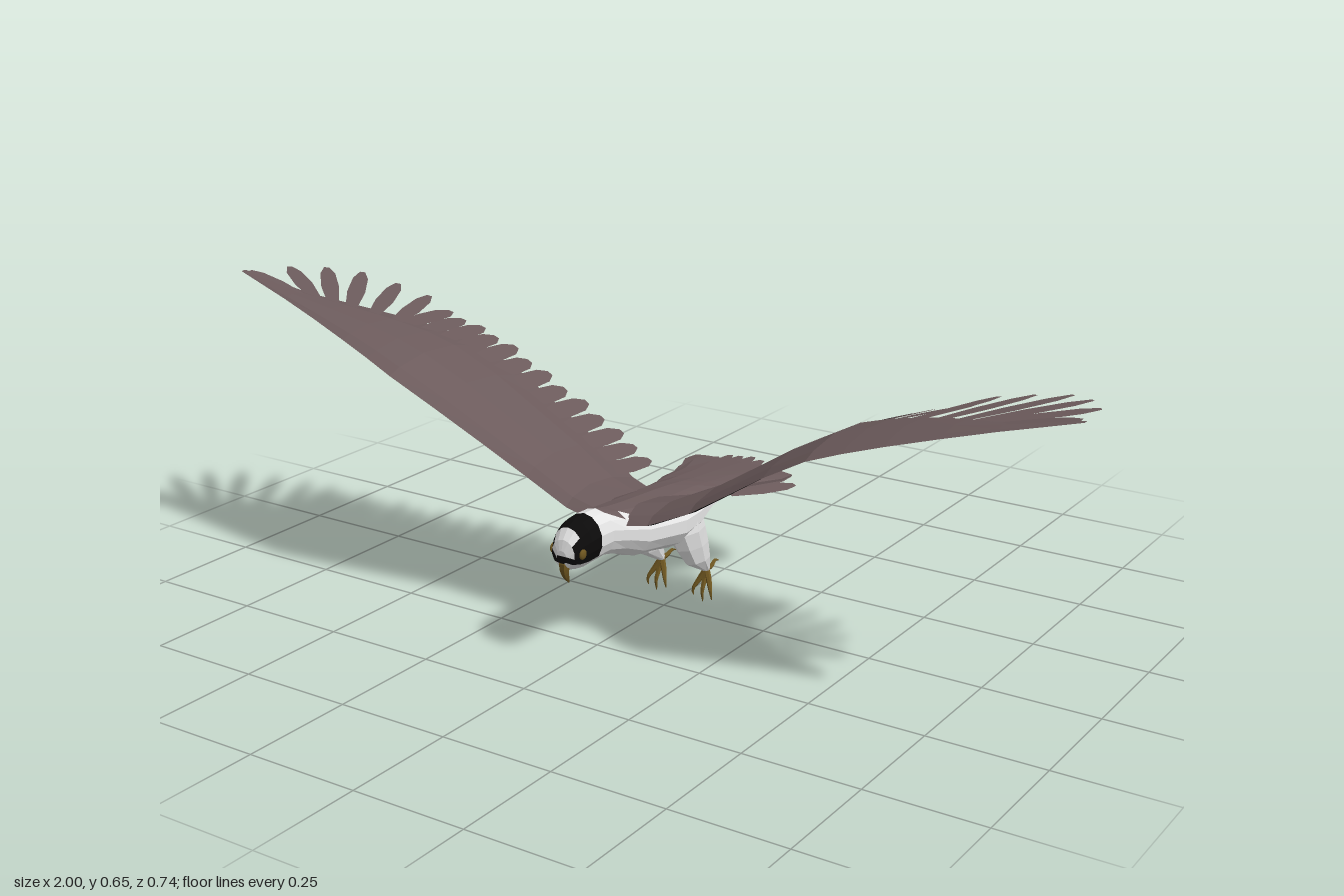
import * as THREE from 'three';

const V = (x, y, z) => new THREE.Vector3(x, y, z);
const mat = (name, color) => {
  const m = new THREE.MeshStandardMaterial({ color, side: THREE.DoubleSide });
  m.name = name;
  return m;
};

// Linear interpolation in a list of [x, value]
function table(points, x) {
  for (let i = 1; i < points.length; i++) {
    const [x0, v0] = points[i - 1], [x1, v1] = points[i];
    if (x <= x1) return v0 + (v1 - v0) * (x - x0) / (x1 - x0);
  }
  return points[points.length - 1][1];
}

// Faceted closed skin over rings of points; paint(row, column, centre) gives a material index
function loft(name, rings, materials, paint = () => 0) {
  const buckets = materials.map(() => []);
  const n = rings[0].length, last = rings.length - 1;
  const tri = (i, j, a, b, c) => {
    const centre = V(0, 0, 0).add(a).add(b).add(c).divideScalar(3);
    buckets[paint(i, j, centre)].push(a, b, c);
  };
  for (let i = 0; i < last; i++) {
    for (let j = 0; j < n; j++) {
      const k = (j + 1) % n;
      const a = rings[i][j], b = rings[i][k], c = rings[i + 1][k], d = rings[i + 1][j];
      tri(i, j, a, d, b);
      tri(i, j, b, d, c);
    }
  }
  for (let j = 1; j < n - 1; j++) {
    tri(0, j, rings[0][0], rings[0][j], rings[0][j + 1]);
    tri(last, j, rings[last][0], rings[last][j + 1], rings[last][j]);
  }
  const geo = new THREE.BufferGeometry().setFromPoints(buckets.flat());
  let start = 0;
  buckets.forEach((b, m) => { geo.addGroup(start, b.length, m); start += b.length; });
  geo.computeVertexNormals();
  const mesh = new THREE.Mesh(geo, materials);
  mesh.name = name;
  return mesh;
}

// Flat blade from root to tip, lying across the given surface normal
function feather(name, root, tip, normal, width, material) {
  const side = tip.clone().sub(root).cross(normal).normalize();
  const rows = [[0, 0.6], [0.45, 1], [0.82, 0.85], [1, 0.3]].map(([s, w]) => {
    const mid = root.clone().lerp(tip, s);
    return [mid.clone().addScaledVector(side, -w * width), mid.clone().addScaledVector(side, w * width)];
  });
  const pts = [];
  for (let i = 0; i < 3; i++) {
    const [a, b] = rows[i], [d, c] = rows[i + 1];
    pts.push(a, b, c, a, c, d);
  }
  const geo = new THREE.BufferGeometry().setFromPoints(pts);
  geo.computeVertexNormals();
  const mesh = new THREE.Mesh(geo, material);
  mesh.name = name;
  return mesh;
}

// Tube narrowing to a point, used for the beak and toes
function taperedTube(name, points, radius, material, end = 0.12) {
  const curve = new THREE.CatmullRomCurve3(points);
  const seg = 7, sides = 6;
  let geo = new THREE.TubeGeometry(curve, seg, radius, sides);
  const pos = geo.attributes.position, v = V(0, 0, 0);
  for (let i = 0; i < pos.count; i++) {
    const u = Math.floor(i / (sides + 1)) / seg;
    const c = curve.getPointAt(u);
    v.fromBufferAttribute(pos, i).sub(c).multiplyScalar(1 - (1 - end) * u * u).add(c);
    pos.setXYZ(i, v.x, v.y, v.z);
  }
  geo = geo.toNonIndexed();
  geo.computeVertexNormals();
  const mesh = new THREE.Mesh(geo, material);
  mesh.name = name;
  return mesh;
}

// Wing plan and height along the span
const LEAD = [[0, .22], [.1, .215], [.2, .215], [.3, .24], [.4, .268], [.5, .287], [.6, .272], [.8, .232], [1, .2]];
const TRAIL = [[0, 0], [.1, -.03], [.2, -.06], [.4, -.05], [.55, -.02], [.65, .03], [.75, .09], [.85, .15], [.95, .17], [1, .185]];
const RISE = [[0, .26], [.1, .28], [.2, .327], [.3, .392], [.4, .458], [.5, .515], [.6, .55], [.8, .602], [1, .65]];

function wingPoint(x, t, face = 0) {
  const lead = table(LEAD, x), trail = table(TRAIL, x), chord = (lead - trail) / 0.3;
  const thick = 0.013 * (1.05 - x) * Math.sin(Math.PI * Math.sqrt(t));
  const camber = (0.022 * Math.sin(Math.PI * t) - 0.006 - 0.008 * t) * chord;
  return V(x, table(RISE, x) + camber + face * thick, lead + (trail - lead) * t);
}

function buildWing(name, brown, black) {
  const wing = new THREE.Group();
  wing.name = name;
  const spans = [.03, .1, .2, .3, .4, .5, .57, .65, .75, .85, .93, 1];
  const rings = spans.map(x => [
    ...[0, .1, .35, .68, 1].map(t => wingPoint(x, t, 1)),
    ...[.68, .35, .1].map(t => wingPoint(x, t, -1)),
  ]);
  // Dark patch under the inner wing
  const under = (i, j) => (j >= 5 && i < 6 && !(j === 7 && i > 3) ? 1 : 0);
  wing.add(loft('wingSurface', rings, [brown, black], under));

  const addFeather = (label, xr, t, xt, zt, dy, w) => {
    const root = wingPoint(xr, t);
    const slope = (table(RISE, xr + .05) - table(RISE, xr - .05)) / .1;
    const tip = V(xt, table(RISE, xt) + dy, zt);
    wing.add(feather(label, root, tip, V(-slope, 1, 0.12), w, brown));
  };
  // Inner flight feathers
  const tipZ = [[.12, -.135], [.17, -.16], [.26, -.158], [.4, -.127], [.65, -.105]];
  for (let i = 0; i < 13; i++) {
    const x = .13 + i * .0435;
    addFeather('secondaryFeather', x * .95, .7, x, table(tipZ, x) + (i % 2) * .012, -.022, .024);
  }
  // Spread outer flight feathers: root x, tip x, tip z
  [[.63, .71, -.1], [.68, .79, -.085], [.73, .875, -.06], [.77, .935, -.005], [.81, .98, .07]]
    .forEach(([xr, xt, zt]) => addFeather('primaryFeather', xr, .6, xt, zt, -.008, .02));
  addFeather('leadingFeather', .84, .5, .99, .185, .002, .018);
  return wing;
}

export function createModel() {
  const bird = new THREE.Group();
  bird.name = 'bird';
  const brown = mat('featherBrown', 0x6b5a5b);
  const black = mat('patchBlack', 0x0c0b0b);
  const white = mat('bellyWhite', 0xe4e4e4);
  const ochre = mat('footOchre', 0x6e5620);

  // Head, trunk and tail base: z, half width, top, bottom
  const sections = [
    [.368, .012, .25, .222], [.362, .028, .272, .212], [.345, .037, .293, .203], [.32, .043, .304, .2],
    [.29, .045, .306, .202], [.25, .046, .304, .203], [.21, .06, .296, .195], [.16, .075, .29, .173],
    [.1, .085, .285, .165], [.04, .088, .28, .152], [-.02, .085, .274, .165], [-.07, .08, .267, .2],
    [-.12, .085, .26, .225], [-.2, .093, .252, .222], [-.28, .13, .243, .222], [-.325, .13, .237, .222],
  ];
  const sides = 14;
  const bodyRings = sections.map(([z, w, top, bottom]) => Array.from({ length: sides }, (_, j) => {
    const a = (j + 0.5) / sides * Math.PI * 2;
    return V(w * Math.cos(a), (top + bottom) / 2 + (top - bottom) / 2 * Math.sin(a), z);
  }));
  const plumage = (i, j, c) => {
    if (c.z > .29) {
      if (c.y < .222 || (c.z > .345 && Math.abs(c.x) < .025 && c.y > .24)) return 0;
      return 2;
    }
    if (c.z > .25) return 0;
    if (c.z < -.12) return 1;
    return c.y > table([[-.12, .24], [0, .256], [.12, .264], [.2, .28], [.25, .29]], c.z) ? 1 : 0;
  };
  bird.add(loft('body', bodyRings, [white, brown, black], plumage));

  // Beak
  bird.add(taperedTube('beak', [V(0, .236, .35), V(0, .222, .358), V(0, .2, .357), V(0, .176, .345)], .013, ochre));

  // Tail fan
  for (let i = -5; i <= 5; i++) {
    const f = i / 5;
    const tip = V(f * .14, .236 - .022 * f * f, -.37 + .05 * f * f + (i % 2 ? .006 : 0));
    bird.add(feather('tailFeather', V(f * .07, .24 - .012 * f * f, -.15), tip, V(f * .2, 1, 0), .021, brown));
  }

  for (const s of [1, -1]) {
    const label = s > 0 ? 'left' : 'right';
    const half = new THREE.Group();
    half.name = label + 'Side';
    half.scale.x = s;
    half.add(buildWing(label + 'Wing', brown, black));

    // Eye
    const eye = new THREE.Mesh(new THREE.SphereGeometry(.011, 10, 8), ochre);
    eye.name = 'eye';
    eye.scale.x = .45;
    eye.position.set(.036, .243, .345);
    half.add(eye);

    // Feathered thigh: y, z, half depth, x, half width
    const thigh = [
      [.24, 0, .045, .05, .03], [.19, -.002, .058, .055, .032], [.15, -.02, .052, .058, .027],
      [.11, -.04, .041, .06, .02], [.072, -.078, .009, .058, .008],
    ].map(([y, z, dz, x, dx]) => Array.from({ length: 8 }, (_, j) => {
      const a = j / 8 * Math.PI * 2;
      return V(x + dx * Math.cos(a), y, z - dz * Math.sin(a));
    }));
    half.add(loft('thigh', thigh, [white]));

    // Foot with three front toes and one hind toe
    const ankle = V(.058, .074, -.08);
    half.add(taperedTube('ankle', [V(.058, .084, -.074), V(.058, .074, -.08), V(.058, .064, -.083)], .008, ochre, .8));
    [[.036, .014], [.06, .003], [.082, .012]].forEach(([x, y]) => {
      const mid = (x + .058) / 2;
      half.add(taperedTube('frontToe', [ankle, V(mid, .052, -.071), V(x, .028, -.06), V(x, y, -.063)], .007, ochre));
    });
    half.add(taperedTube('hindToe', [ankle, V(.058, .074, -.1), V(.056, .081, -.118), V(.056, .076, -.133)], .006, ochre));
    bird.add(half);
  }
  return bird;
}
